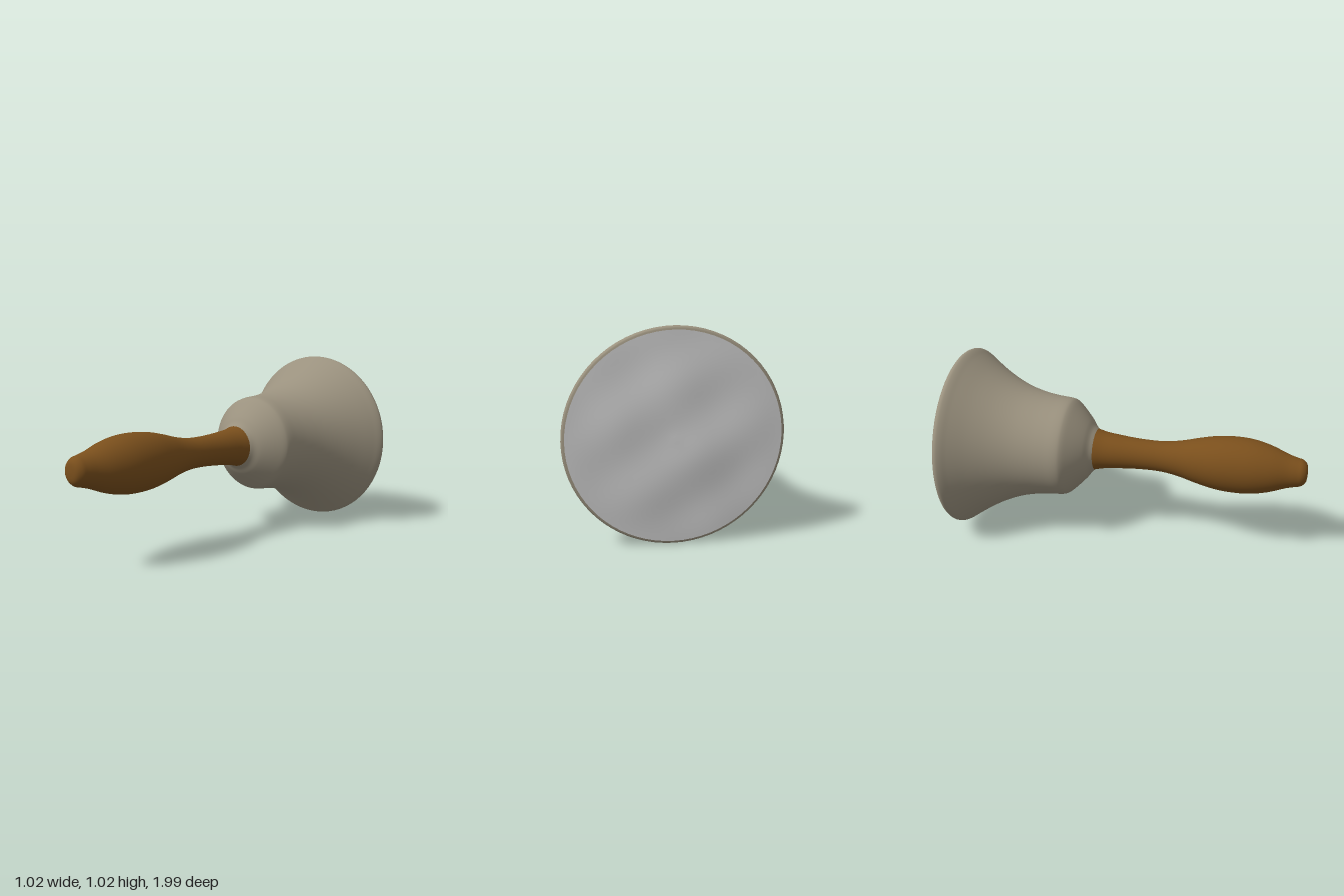
import * as THREE from 'three';
import { mergeVertices } from 'three/addons/utils/BufferGeometryUtils.js';

// Smooth curve through [radius, z] points, listed from back to front
const smooth = (pts, n) =>
  new THREE.CatmullRomCurve3(pts.map(([r, z]) => new THREE.Vector3(r, z, 0)), false, 'centripetal')
    .getPoints(n).map(p => new THREE.Vector2(Math.max(p.x, 0), p.y));

// Turned part lying along z; rule moves each vertex before normals are rebuilt
function turned(name, color, pts, rule, n = 60) {
  let geo = new THREE.LatheGeometry(smooth(pts, n), 72);
  geo.rotateX(Math.PI / 2);
  geo.deleteAttribute('uv');
  geo.deleteAttribute('normal');
  geo = mergeVertices(geo, 1e-5);
  const pos = geo.attributes.position;
  const v = new THREE.Vector3();
  for (let i = 0; i < pos.count; i++) {
    v.fromBufferAttribute(pos, i);
    rule(v);
    pos.setXYZ(i, v.x, v.y, v.z);
  }
  geo.computeVertexNormals();
  const mesh = new THREE.Mesh(geo, new THREE.MeshStandardMaterial({ color }));
  mesh.name = name;
  return mesh;
}

// The axis is slightly off centre at the handle and returns to centre at the rim
function drift(v) {
  const t = THREE.MathUtils.smoothstep(v.z, -0.95, -0.35);
  const tip = THREE.MathUtils.smoothstep(v.z, 0.6, 1);
  v.x += -0.02 * t - 0.01 * tip;
  v.y += 0.513 + 0.007 * t;
}

export function createModel() {
  const group = new THREE.Group();
  group.name = 'handBell';

  // Flared bell with a rounded rim and sloping shoulder
  group.add(turned('bell', 0x9a917e, [
    [0.495, -0.965], [0.506, -0.96], [0.511, -0.945], [0.503, -0.925], [0.478, -0.89],
    [0.417, -0.8], [0.361, -0.7], [0.32, -0.6], [0.295, -0.5], [0.284, -0.42],
    [0.278, -0.35], [0.27, -0.325], [0.235, -0.285], [0.17, -0.225], [0.135, -0.2], [0.117, -0.18],
  ], drift));

  // Turned handle, a little narrower than tall
  group.add(turned('handle', 0x7a4f1c, [
    [0.117, -0.18], [0.105, -0.13], [0.096, -0.05], [0.09, 0.02], [0.086, 0.1], [0.087, 0.2],
    [0.102, 0.3], [0.128, 0.4], [0.149, 0.5], [0.157, 0.6], [0.152, 0.7], [0.129, 0.8],
    [0.095, 0.89], [0.081, 0.94], [0.073, 0.97], [0.05, 0.993], [0, 1],
  ], v => {
    v.x *= THREE.MathUtils.lerp(1, 0.94, THREE.MathUtils.smoothstep(v.z, -0.18, 0.1));
    drift(v);
  }));

  // Uneven, slightly bulging closure of the bell mouth
  group.add(turned('mouthCover', 0xcccccc, [
    [0, -0.99], [0.1, -0.986], [0.2, -0.98], [0.3, -0.975], [0.4, -0.97], [0.495, -0.965],
  ], v => {
    const fade = 1 - Math.min(1, Math.hypot(v.x, v.y) / 0.495) ** 2;
    v.z += fade * (0.006 * Math.sin(9 * v.x + 14 * v.y + 1) + 0.004 * Math.sin(17 * v.x - 8 * v.y));
    v.z = Math.max(v.z, -1);
    drift(v);
  }, 30));

  return group;
}
